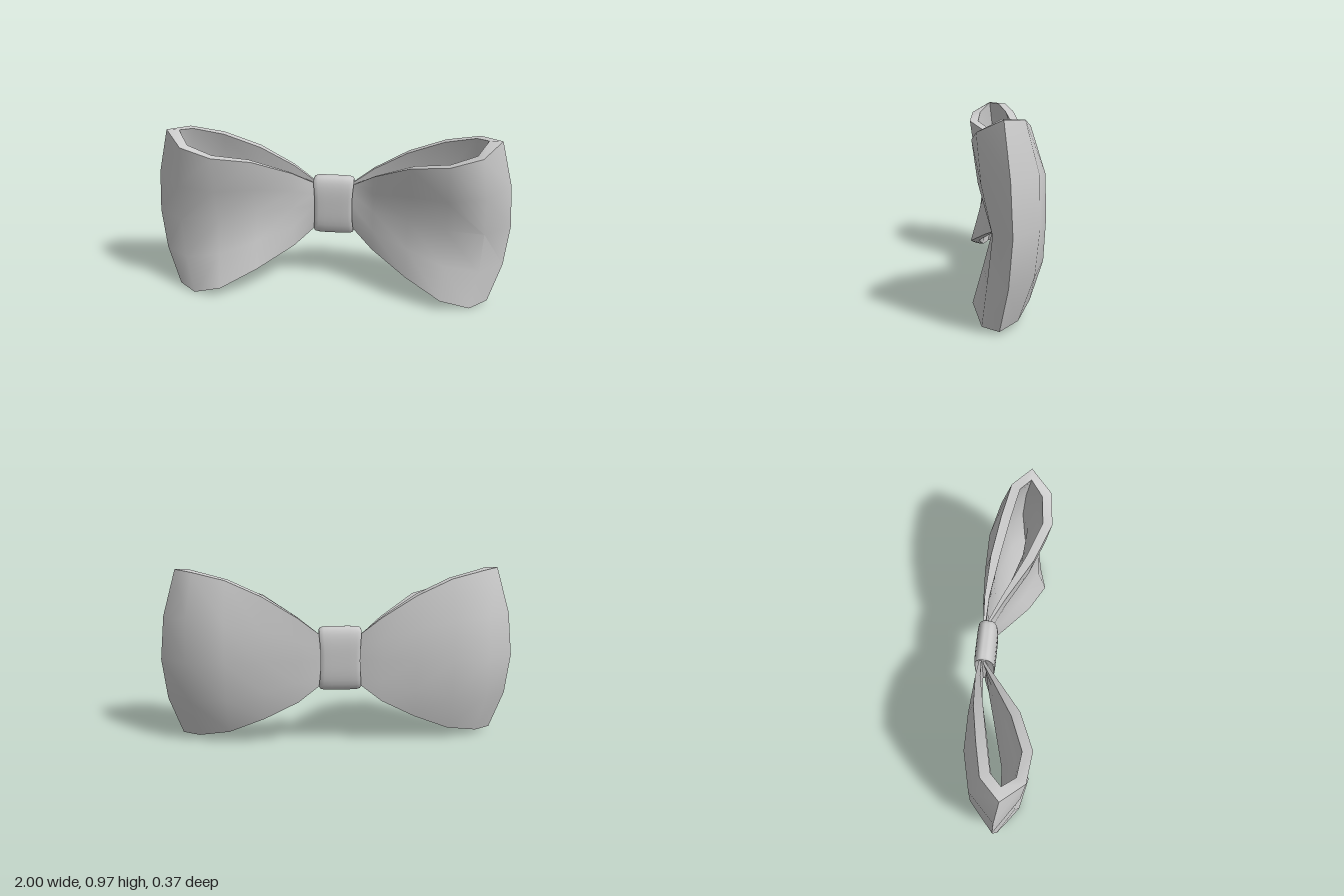
import * as THREE from 'three';
import { toCreasedNormals } from 'three/addons/utils/BufferGeometryUtils.js';

const material = new THREE.MeshStandardMaterial({ color: 0xcccccc, side: THREE.DoubleSide });

// Columns of the folded cloth: x at the rims and at mid height, y and z at
// top, middle and bottom, and how far the upper quarter puffs out along z
const FRONT = [
  [0.05, 0.05, [0.60, 0.49, 0.38], [-0.125, -0.115, -0.125], 0],
  [0.12, 0.12, [0.63, 0.49, 0.34], [-0.115, -0.1, -0.115], 0],
  [0.23, 0.23, [0.71, 0.485, 0.25], [-0.04, -0.065, -0.05], 0.01],
  [0.43, 0.43, [0.82, 0.48, 0.155], [0.1, 0.015, 0.09], 0.035],
  [0.63, 0.64, [0.862, 0.455, 0.065], [0.18, 0.075, 0.18], 0.05],
  [0.80, 0.85, [0.91, 0.45, 0.005], [0.16, 0.09, 0.14], 0.03],
  [0.905, 1.0, [0.972, 0.47, 0.018], [0.042, 0.008, 0.062], 0.003],
];
const BACK = [
  [0.80, 0.845, [0.965, 0.48, 0.03], [-0.06, -0.125, -0.03], -0.01],
  [0.62, 0.63, [0.925, 0.48, 0.07], [-0.1, -0.176, -0.1], -0.014],
  [0.42, 0.42, [0.84, 0.485, 0.155], [-0.138, -0.174, -0.138], -0.01],
  [0.23, 0.23, [0.725, 0.485, 0.255], [-0.155, -0.166, -0.16], -0.005],
  [0.12, 0.12, [0.64, 0.49, 0.34], [-0.152, -0.154, -0.152], 0],
  [0.05, 0.05, [0.60, 0.49, 0.38], [-0.14, -0.14, -0.14], 0],
];
const COLUMNS = [...FRONT, ...BACK];
const ROWS = 4;
const PUFF = [0, 1, 0, 0.5, 0]; // share of the puff taken by each row

// Parabola through the three given values
const bend = ([a, m, b], t) =>
  a * (1 - t) * (1 - 2 * t) + m * 4 * t * (1 - t) + b * t * (2 * t - 1);

function createWing(side) {
  const n = COLUMNS.length;
  const positions = [];
  const index = [];
  // Each row holds the outer cloth points, then the points offset inward
  for (let r = 0; r <= ROWS; r++) {
    const t = r / ROWS;
    const outer = COLUMNS.map(([rim, mid, y, z, puff]) =>
      [bend([rim, mid, rim], t), bend(y, t), bend(z, t) + puff * PUFF[r]]);
    const edgeNormal = (j) => {
      const a = outer[j], b = outer[j + 1];
      return new THREE.Vector2(b[2] - a[2], a[0] - b[0]).normalize();
    };
    // The cloth thins out towards the knot
    const inner = outer.map(([x, y, z], i) => {
      const n1 = edgeNormal(Math.max(0, i - 1));
      const n2 = edgeNormal(Math.min(n - 2, i));
      const miter = n1.clone().add(n2).normalize();
      const d = Math.min(0.052, 0.115 * x) / Math.max(0.65, miter.dot(n1));
      return [x + miter.x * d, y, z + miter.y * d];
    });
    for (const p of [...outer, ...inner]) positions.push(side * p[0], p[1], p[2]);
  }
  const id = (r, i, layer) => r * 2 * n + layer * n + i;
  const quad = (a, b, c, d) => {
    if (side > 0) index.push(a, b, c, a, c, d);
    else index.push(a, c, b, a, d, c);
  };
  for (let i = 0; i < n - 1; i++) {
    for (let r = 0; r < ROWS; r++) {
      quad(id(r, i, 0), id(r + 1, i, 0), id(r + 1, i + 1, 0), id(r, i + 1, 0));
      quad(id(r, i, 1), id(r, i + 1, 1), id(r + 1, i + 1, 1), id(r + 1, i, 1));
    }
    // Rims at the open top and bottom
    quad(id(0, i, 0), id(0, i + 1, 0), id(0, i + 1, 1), id(0, i, 1));
    quad(id(ROWS, i, 0), id(ROWS, i, 1), id(ROWS, i + 1, 1), id(ROWS, i + 1, 0));
  }
  const geometry = new THREE.BufferGeometry();
  geometry.setAttribute('position', new THREE.Float32BufferAttribute(positions, 3));
  geometry.setIndex(index);
  const mesh = new THREE.Mesh(toCreasedNormals(geometry, 0.75), material);
  mesh.name = side > 0 ? 'leftWing' : 'rightWing';
  return mesh;
}

// Knot band: a rounded drum lying along x, squared off to a flat oval section
// and drawn in at its waist
function createKnot() {
  const half = [[0, 0.112], [0.8, 0.112], [0.9, 0.116], [0.96, 0.11], [0.99, 0.09], [1, 0.05]];
  const profile = [
    ...half.map(([r, x]) => new THREE.Vector2(r, -x)),
    ...half.reverse().map(([r, x]) => new THREE.Vector2(r, x)),
  ];
  const geometry = new THREE.LatheGeometry(profile, 40);
  geometry.rotateZ(-Math.PI / 2);
  const p = geometry.attributes.position;
  for (let i = 0; i < p.count; i++) {
    const y = p.getY(i), z = p.getZ(i);
    const r = Math.hypot(y, z) || 1;
    const k = 1 / Math.cbrt(Math.abs(y / r) ** 3 + Math.abs(z / r) ** 3 || 1);
    const waist = 0.93 + 0.07 * Math.min(1, (y * k) ** 2 * 1.6);
    p.setXYZ(i, p.getX(i) * waist, y * k * 0.178, z * k * 0.058);
  }
  const mesh = new THREE.Mesh(toCreasedNormals(geometry, 0.8), material);
  mesh.name = 'knot';
  mesh.position.set(0, 0.497, -0.127);
  return mesh;
}

export function createModel() {
  const group = new THREE.Group();
  group.name = 'bowTie';
  group.add(createWing(1), createWing(-1), createKnot());
  return group;
}
